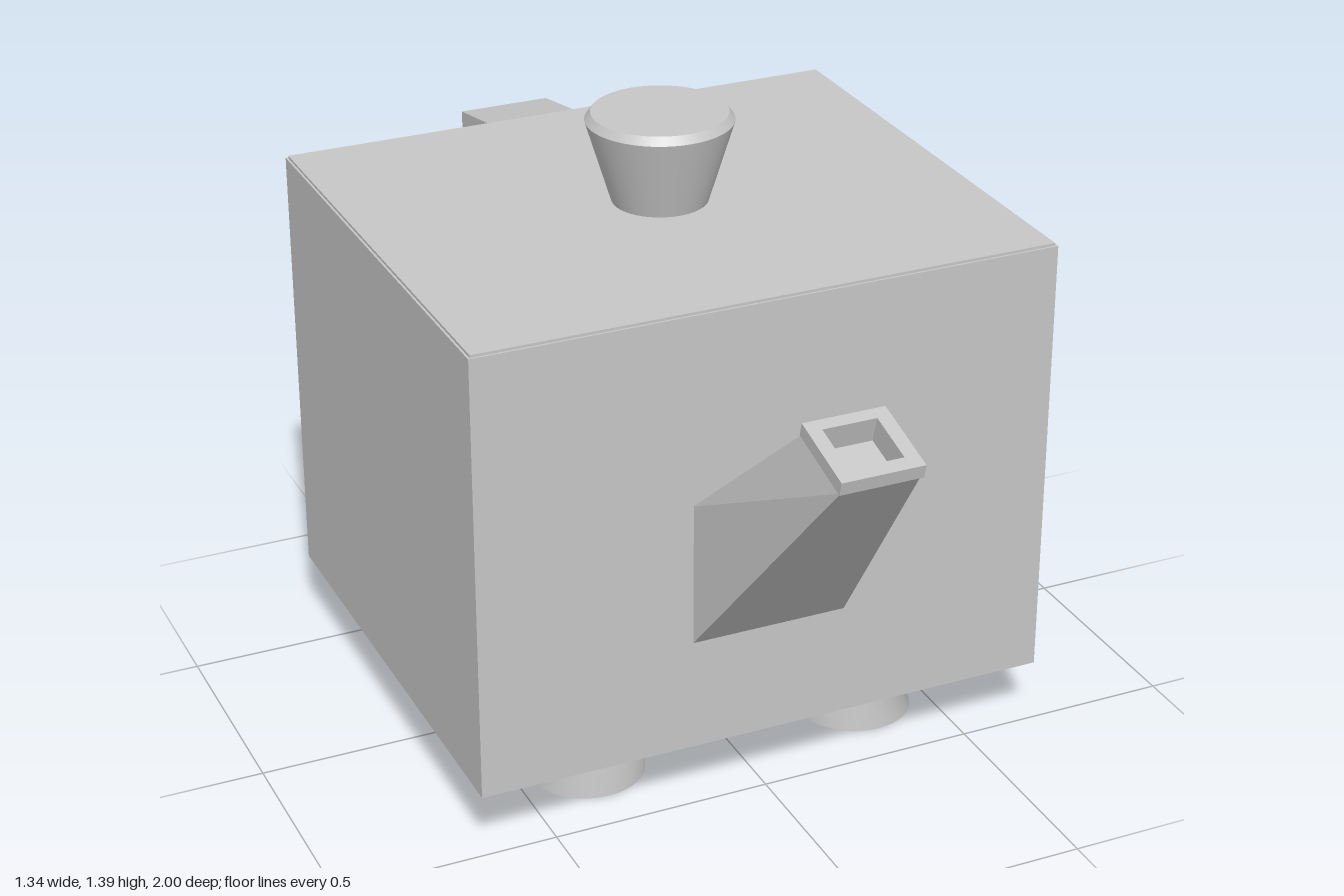
import * as THREE from 'three';

export function createModel() {
  const group = new THREE.Group();
  const grey = new THREE.MeshStandardMaterial({ color: 0xc6c6c6 });
  grey.name = 'plain grey';
  const cz = -0.067; // centre of the body along z

  function add(name, geometry, x = 0, y = 0, z = 0) {
    const mesh = new THREE.Mesh(geometry, grey);
    mesh.name = name;
    mesh.position.set(x, y, z);
    group.add(mesh);
    return mesh;
  }

  // Body with a thin, slightly inset lid
  add('body', new THREE.BoxGeometry(1.34, 1.03, 1.145), 0, 0.665, cz);
  add('lid', new THREE.BoxGeometry(1.33, 0.006, 1.135), 0, 1.183, cz);

  // Flared knob with a bevelled rim
  add('knob', new THREE.CylinderGeometry(0.164, 0.107, 0.188, 48, 1, true), 0, 1.279, cz);
  add('knobRim', new THREE.CylinderGeometry(0.151, 0.164, 0.018, 48), 0, 1.382, cz);

  // Splayed feet: tapered cylinders sheared outwards at the bottom
  for (const sx of [-1, 1]) {
    for (const sz of [-1, 1]) {
      const foot = new THREE.CylinderGeometry(0.113, 0.133, 0.15, 40);
      const p = foot.attributes.position;
      for (let i = 0; i < p.count; i++) {
        const shift = 0.31 - p.getY(i) * 0.31;
        p.setX(i, p.getX(i) + sx * shift);
        p.setZ(i, p.getZ(i) + sz * shift);
      }
      foot.computeBoundingSphere();
      const side = sx > 0 ? 'Left' : 'Right';
      add((sz > 0 ? 'front' : 'back') + side + 'Foot', foot, 0, 0.075, cz);
    }
  }

  // Spout: rectangular sections [half width, lower y, lower z, upper y, upper z],
  // running out to the lip and back down into the square opening
  const sections = [
    [0.18, 0.407, 0.503, 0.74, 0.503],
    [0.088, 0.988, 0.988, 1.038, 0.818],
    [0.093, 0.986, 0.992, 1.036, 0.816],
    [0.093, 1.017, 1.0, 1.066, 0.824],
    [0.061, 1.026, 0.968, 1.058, 0.851],
    [0.061, 0.968, 0.952, 1.0, 0.834],
  ].map(([w, y0, z0, y1, z1]) => [[-w, y0, z0], [w, y0, z0], [w, y1, z1], [-w, y1, z1]]);
  const points = [];
  const quad = (a, b, c, d) => points.push(...a, ...b, ...c, ...a, ...c, ...d);
  for (let s = 0; s < sections.length - 1; s++) {
    const a = sections[s], b = sections[s + 1];
    for (let i = 0; i < 4; i++) {
      const j = (i + 1) % 4;
      quad(a[i], a[j], b[j], b[i]);
    }
  }
  quad(...sections[sections.length - 1]);
  const spout = new THREE.BufferGeometry();
  spout.setAttribute('position', new THREE.Float32BufferAttribute(points, 3));
  spout.computeVertexNormals();
  add('spout', spout);

  // Angular handle, drawn as (distance back, y) and extruded across x
  const outline = [
    [0.638, 0.407], [0.98, 0.543], [1.0, 1.072], [0.638, 1.14],
    [0.638, 1.007], [0.835, 0.995], [0.796, 0.673], [0.638, 0.622],
  ].map(([b, y]) => new THREE.Vector2(b, y));
  const handle = new THREE.ExtrudeGeometry(new THREE.Shape(outline), { depth: 0.22, bevelEnabled: false });
  handle.translate(0, 0, -0.11);
  handle.rotateY(Math.PI / 2);
  add('handle', handle);

  return group;
}
